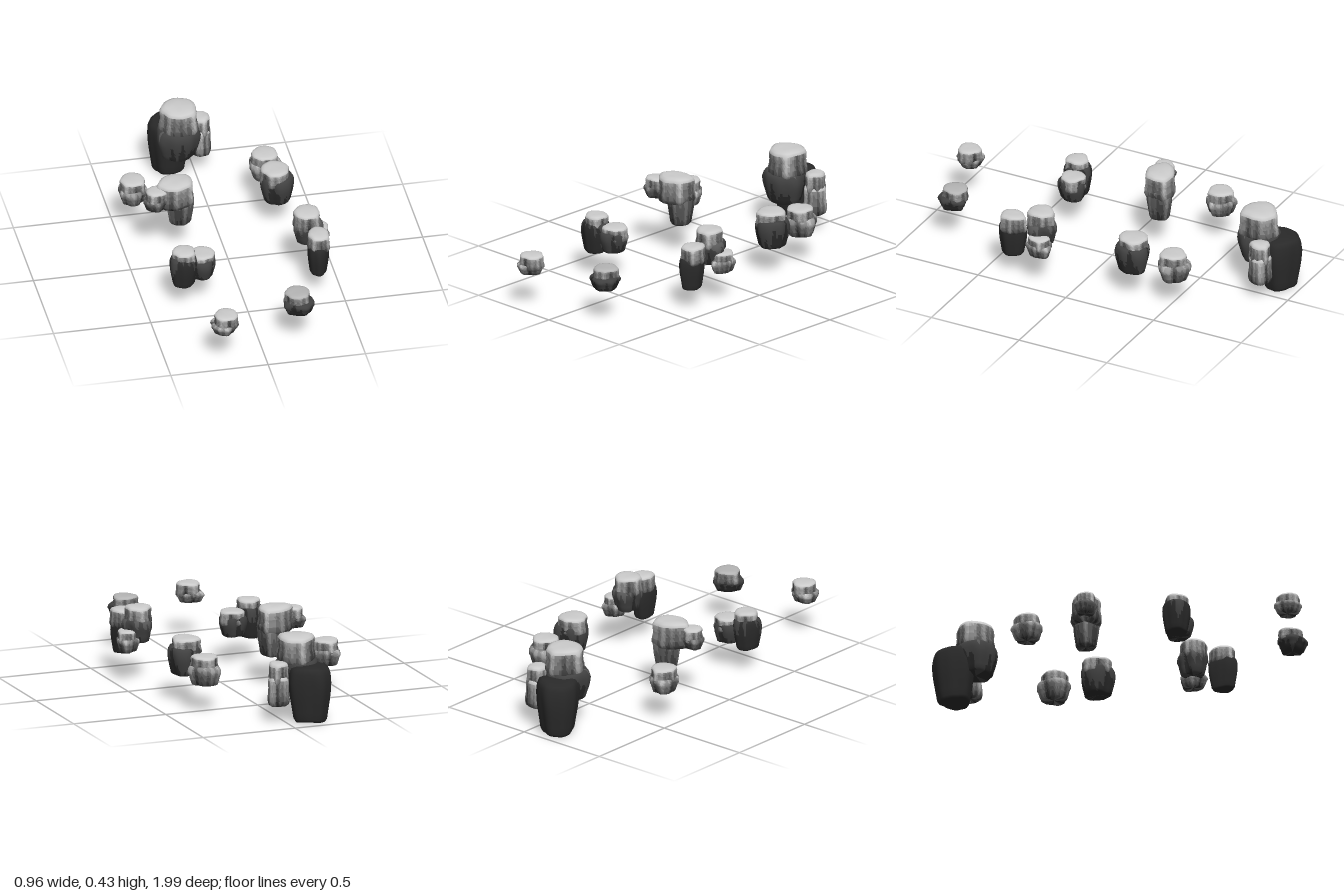
import * as THREE from 'three';
import { mergeVertices } from 'three/addons/utils/BufferGeometryUtils.js';

// Grey stone tones from nearly black to pale
const LEVELS = 8;
const TONES = Array.from({ length: LEVELS }, (_, i) => {
  const g = Math.round(0x2a + (0xcc - 0x2a) * i / (LEVELS - 1));
  return new THREE.MeshStandardMaterial({ color: g * 0x010101 });
});

// Profiles as [radius, height], both 0..1, from the underside to the crown
const PROFILES = {
  cap: [[0, 0.03], [0.7, 0], [0.9, 0.05], [1, 0.18], [0.98, 0.34], [0.93, 0.48],
    [0.92, 0.6], [0.94, 0.72], [0.93, 0.84], [0.86, 0.94], [0.68, 0.985], [0.35, 1], [0, 1]],
  ledge: [[0, 0.04], [0.62, 0], [0.76, 0.05], [0.86, 0.3], [0.92, 0.5], [1, 0.62],
    [1, 0.74], [1, 0.85], [0.9, 0.96], [0.7, 1], [0, 1]],
  block: [[0, 0.02], [0.7, 0], [0.78, 0.05], [0.83, 0.18], [0.88, 0.3], [0.93, 0.42],
    [0.97, 0.55], [1, 0.72], [0.97, 0.88], [0.88, 0.97], [0.7, 1], [0, 1]],
};
const LOBES = { cap: 0.04, ledge: 0.065, block: 0.045 };

// Depth of the vertical grooves round a boulder, about -2..2
function groove(a, t, seed) {
  return Math.cos(3 * a + seed + t * 0.8) + 0.7 * Math.cos(5 * a + 2.3 * seed)
    + 0.5 * Math.cos(8 * a - 1.7 * seed);
}

// Tone of a face: pale crown, streaked sides that darken downwards
function toneLevel(a, t, kind, seed, shade) {
  const crown = kind === 'cap' && t > 0.86;
  const v = crown ? 1 : 0.25 + 0.5 * t + 0.16 * groove(a, t, seed) + 0.1 * Math.cos(13 * a + seed);
  return Math.round(THREE.MathUtils.clamp(v * shade, 0, 1) * (LEVELS - 1));
}

// One weathered boulder: a lathed body pushed into vertical lobes, split by tone
function boulder(name, kind, x, z, y0, y1, rx, rz, shade, seed, turn = 0) {
  const points = PROFILES[kind].map(([r, t]) => new THREE.Vector2(r, t));
  let geo = new THREE.LatheGeometry(points, 48);
  geo.deleteAttribute('uv');
  geo.deleteAttribute('normal');
  geo = mergeVertices(geo, 1e-5);
  const p = geo.attributes.position;

  // Sort the faces by tone while the body is still a plain unit shape
  const faces = TONES.map(() => []);
  const index = geo.index.array;
  const mid = new THREE.Vector3(), corner = new THREE.Vector3();
  for (let i = 0; i < index.length; i += 3) {
    const tri = [index[i], index[i + 1], index[i + 2]];
    mid.set(0, 0, 0);
    tri.forEach((v) => mid.addScaledVector(corner.fromBufferAttribute(p, v), 1 / 3));
    faces[toneLevel(Math.atan2(mid.x, mid.z), mid.y, kind, seed, shade)].push(...tri);
  }

  for (let i = 0; i < p.count; i++) {
    const px = p.getX(i), t = p.getY(i), pz = p.getZ(i);
    const a = Math.atan2(px, pz);
    const k = 1 + LOBES[kind] * (t > 0.85 ? 0.5 : 1) * groove(a, t, seed);
    const lift = 0.02 * Math.cos(a * 2 + seed) * Math.hypot(px, pz);
    p.setXYZ(i, px * k * rx, (t + lift) * (y1 - y0), pz * k * rz);
  }
  geo.computeVertexNormals();

  const group = new THREE.Group();
  group.name = name;
  faces.forEach((list, level) => {
    if (!list.length) return;
    const part = new THREE.BufferGeometry();
    part.setAttribute('position', p);
    part.setAttribute('normal', geo.attributes.normal);
    part.setIndex(list);
    const mesh = new THREE.Mesh(part, TONES[level]);
    mesh.name = name + 'Surface';
    group.add(mesh);
  });
  group.position.set(x, y0, z);
  group.rotation.y = turn;
  return group;
}

// Clusters: [kind, x, z, bottom, top, radius x, radius z, shade (0 dark, 1 pale), turn]
const CLUSTERS = {
  tallBackRock: [
    ['block', -0.125, -0.89, 0.005, 0.29, 0.108, 0.105, 0],
    ['block', -0.1, -0.785, 0.15, 0.31, 0.11, 0.112, 0.2],
    ['cap', -0.09, -0.79, 0.28, 0.433, 0.098, 0.1, 1],
    ['cap', 0.035, -0.86, 0.2, 0.315, 0.05, 0.056, 1],
    ['cap', 0.035, -0.86, 0.09, 0.25, 0.055, 0.062, 1],
  ],
  backLeftRock: [
    ['ledge', 0.29, -0.505, 0.14, 0.24, 0.08, 0.085, 0.85],
    ['cap', 0.29, -0.5, 0.21, 0.29, 0.07, 0.072, 1],
  ],
  middleLeftRock: [
    ['block', 0.31, -0.28, 0.145, 0.29, 0.085, 0.088, 0.15],
    ['cap', 0.3, -0.28, 0.24, 0.335, 0.076, 0.08, 1],
  ],
  backRightRock: [
    ['ledge', -0.41, -0.4, 0.15, 0.235, 0.072, 0.078, 0.85],
    ['cap', -0.41, -0.4, 0.2, 0.285, 0.067, 0.07, 1],
  ],
  leaningRightRock: [
    ['block', -0.215, -0.155, 0.16, 0.34, 0.07, 0.065, 0.6],
    ['cap', -0.24, -0.145, 0.27, 0.415, 0.1, 0.078, 1, 0.3],
    ['ledge', -0.35, -0.11, 0.28, 0.34, 0.063, 0.055, 0.5],
    ['cap', -0.345, -0.11, 0.31, 0.39, 0.058, 0.052, 1],
  ],
  frontRightPair: [
    ['block', -0.305, 0.36, 0.125, 0.285, 0.07, 0.072, 0.1],
    ['cap', -0.3, 0.36, 0.23, 0.325, 0.062, 0.062, 1],
    ['block', -0.205, 0.335, 0.145, 0.25, 0.07, 0.075, 0.2],
    ['cap', -0.2, 0.33, 0.2, 0.28, 0.067, 0.067, 1],
  ],
  frontLeftTrio: [
    ['ledge', 0.365, 0.21, 0.2, 0.32, 0.075, 0.075, 0.3],
    ['cap', 0.36, 0.215, 0.28, 0.385, 0.07, 0.072, 1],
    ['ledge', 0.425, 0.19, 0.16, 0.23, 0.056, 0.068, 0.85],
    ['cap', 0.43, 0.19, 0.2, 0.27, 0.048, 0.06, 1],
    ['block', 0.385, 0.365, 0.11, 0.275, 0.053, 0.075, 0],
    ['cap', 0.39, 0.36, 0.24, 0.34, 0.057, 0.07, 1],
  ],
  smallFrontLeftRock: [
    ['ledge', 0.2, 0.8, 0.17, 0.24, 0.076, 0.072, 0.15],
    ['cap', 0.195, 0.79, 0.21, 0.285, 0.067, 0.067, 0.85],
  ],
  smallFrontRightRock: [
    ['ledge', -0.21, 0.92, 0.18, 0.235, 0.068, 0.068, 0.9],
    ['cap', -0.2, 0.92, 0.205, 0.285, 0.063, 0.063, 1],
  ],
};

const PART_NAMES = { cap: 'roundedCap', ledge: 'ledge', block: 'stoneBlock' };

export function createModel() {
  const model = new THREE.Group();
  model.name = 'floatingRocks';
  let seed = 1;
  for (const [name, parts] of Object.entries(CLUSTERS)) {
    const cluster = new THREE.Group();
    cluster.name = name;
    for (const [kind, x, z, y0, y1, rx, rz, shade, turn] of parts) {
      cluster.add(boulder(PART_NAMES[kind], kind, x, z, y0, y1, rx, rz, shade, seed, turn));
      seed += 1.37;
    }
    model.add(cluster);
  }
  return model;
}
